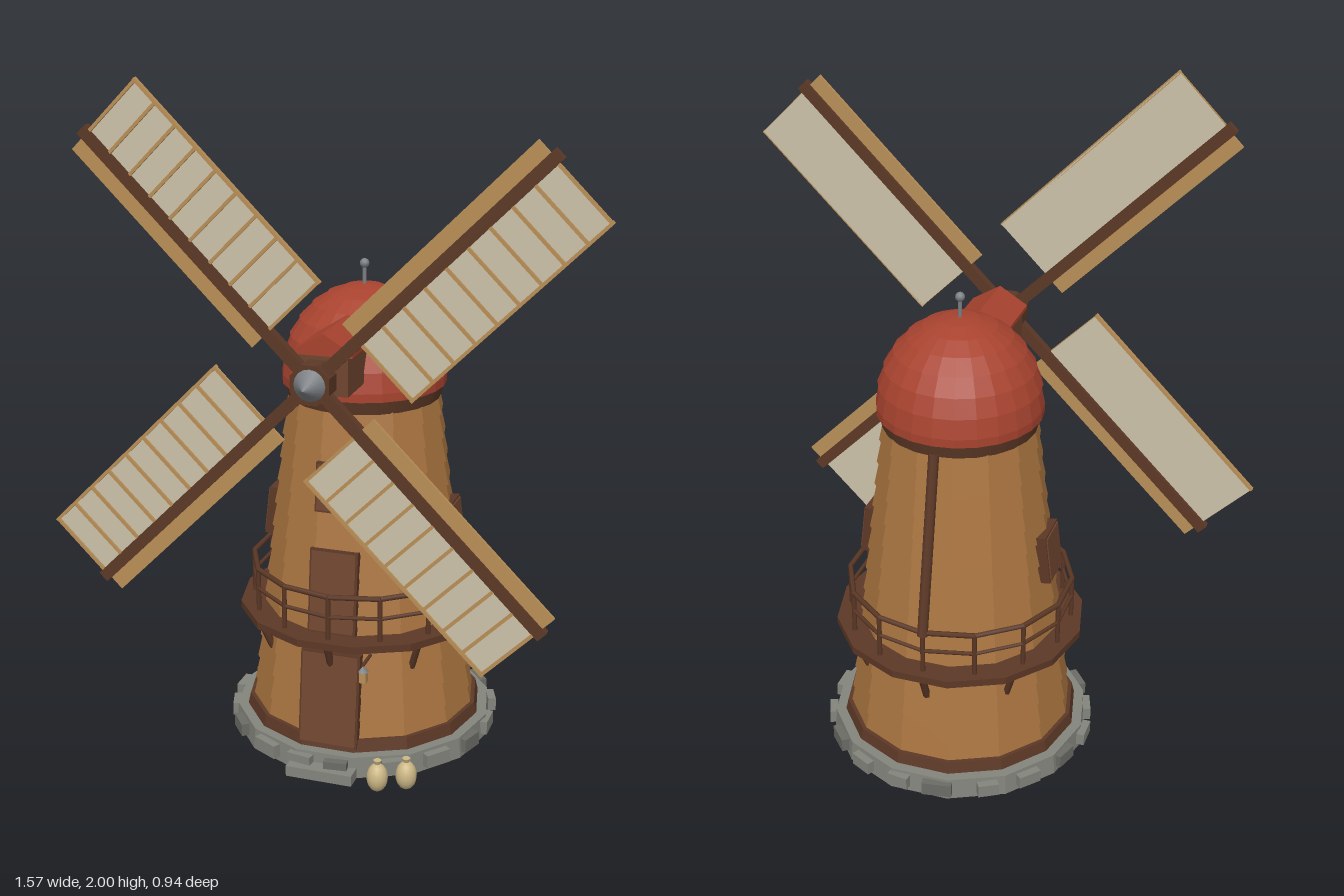
import * as THREE from 'three';

const SIDES = 14, STEP = Math.PI * 2 / SIDES, CZ = -0.06;

export function createModel() {
  const root = new THREE.Group();
  root.name = 'windmill';
  const mat = (name, color) => {
    const m = new THREE.MeshStandardMaterial({ color });
    m.name = name;
    return m;
  };
  const wood = mat('plank wood', 0xa8733f), dark = mat('dark wood', 0x5c3826);
  const door = mat('door wood', 0x6f452f), red = mat('red shingles', 0xa8432f);
  const stone = mat('stone', 0x83847c), stoneDark = mat('dark stone', 0x6b6c66);
  const cloth = mat('sail cloth', 0xcbc2a8), tan = mat('light wood', 0xb98f57);
  const metal = mat('metal', 0x7c8084), sackCloth = mat('sack cloth', 0xccb886);

  const flat = (g) => {
    const f = g.index ? g.toNonIndexed() : g;
    f.computeVertexNormals();
    return f;
  };
  const add = (parent, name, geo, material, x = 0, y = 0, z = 0) => {
    const m = new THREE.Mesh(geo, material);
    m.name = name;
    m.position.set(x, y, z);
    parent.add(m);
    return m;
  };
  const box = (parent, name, material, w, h, d, x, y, z) =>
    add(parent, name, new THREE.BoxGeometry(w, h, d), material, x, y, z);
  const lathe = (pts, n, phase) =>
    flat(new THREE.LatheGeometry(pts.map(p => new THREE.Vector2(...p)), n, phase));
  const prism = (r1, r0, h) => flat(new THREE.CylinderGeometry(r1, r0, h, SIDES, 1, false, STEP / 2));
  // Rod between two points
  const rod = (parent, name, material, a, b, r, n = 6) => {
    const A = new THREE.Vector3(...a), B = new THREE.Vector3(...b), d = B.clone().sub(A);
    const m = add(parent, name, new THREE.CylinderGeometry(r, r, d.length(), n), material);
    m.position.copy(A).add(B).multiplyScalar(0.5);
    m.quaternion.setFromUnitVectors(new THREE.Vector3(0, 1, 0), d.normalize());
    return m;
  };

  const tower = new THREE.Group();
  tower.name = 'tower';
  tower.position.z = CZ;
  root.add(tower);
  const polar = (a, r, y) => [Math.sin(a) * r, y, Math.cos(a) * r];
  const wallR = (y) => 0.34 - (y - 0.08) * 0.118;

  // Stone footing with uneven blocks
  add(tower, 'footing', prism(0.39, 0.395, 0.064), stone, 0, 0.032, 0);
  let seed = 7;
  const rnd = () => (seed = (seed * 16807) % 2147483647) / 2147483647;
  for (let i = 0; i < 18; i++) {
    const a = (i + 0.3 + rnd() * 0.3) * Math.PI / 9;
    const r = 0.391 + rnd() * 0.008;
    const b = box(tower, 'footingBlock', i % 3 ? stone : stoneDark,
      0.06 + rnd() * 0.03, 0.036 + rnd() * 0.008, 0.024, ...polar(a, r, 0.036));
    b.rotation.y = a;
  }
  box(root, 'doorstep', stone, 0.2, 0.032, 0.1, 0, 0.016, 0.32);
  add(tower, 'skirting', prism(0.352, 0.36, 0.035), dark, 0, 0.081, 0);

  // Overlapping plank courses
  const planks = [];
  const courses = 14;
  for (let i = 0; i < courses; i++) {
    const y0 = 0.08 + i / courses, y1 = 0.08 + (i + 1) / courses;
    planks.push([wallR(y0) + 0.004, y0], [wallR(y1) - 0.003, y1]);
  }
  add(tower, 'plankWall', lathe(planks, SIDES, STEP / 2), wood);

  // Doors and windows lie on the sloping wall
  const onWall = (name, a, y, w, h, depth, r) => {
    const g = new THREE.Group();
    g.name = name;
    g.position.set(...polar(a, r, y));
    g.rotation.set(-0.118, a, 0, 'YXZ');
    tower.add(g);
    box(g, name + 'Frame', dark, w, h, depth, 0, 0, 0);
    box(g, name + 'Panel', door, w - 0.012, h - 0.012, 0.008, 0, 0, depth / 2);
  };
  onWall('frontDoor', 0, 0.213, 0.18, 0.285, 0.03, wallR(0.213) * 0.975);
  onWall('balconyDoor', 0, 0.535, 0.145, 0.25, 0.03, wallR(0.535) * 0.975);
  onWall('frontWindow', 0, 0.84, 0.125, 0.145, 0.03, wallR(0.84) * 0.975);
  for (const s of [1, -1]) onWall('sideWindow', s * Math.PI / 2, 0.67, 0.12, 0.15, 0.034, wallR(0.67));

  // Balcony with railing and eight brackets
  add(tower, 'balconyDeck', prism(0.375, 0.375, 0.022), dark, 0, 0.398, 0);
  for (let i = 0; i < SIDES; i++) {
    const a = i * STEP, b = a + STEP;
    rod(tower, 'railPost', dark, polar(a, 0.335, 0.4), polar(a, 0.335, 0.54), 0.007);
    for (const [y, r] of [[0.54, 0.008], [0.478, 0.006]])
      rod(tower, 'rail', dark, polar(a, 0.335, y), polar(b, 0.335, y), r);
  }
  for (let i = 0; i < 8; i++) {
    const a = i * Math.PI / 4;
    rod(tower, 'deckBracket', dark, polar(a, 0.305, 0.3), polar(a, 0.345, 0.39), 0.011);
  }
  rod(tower, 'tailPole', dark, [0, 1.06, -0.225], [0, 0.53, -0.335], 0.016, 8);

  // Lantern beside the door
  rod(root, 'lanternArm', dark, [0.11, 0.35, 0.22], [0.11, 0.35, 0.29], 0.005);
  box(root, 'lantern', tan, 0.02, 0.034, 0.02, 0.11, 0.312, 0.285);
  add(root, 'lanternCap', new THREE.ConeGeometry(0.016, 0.018, 6), metal, 0.11, 0.337, 0.285);

  // Domed cap with stepped shingle rings
  add(tower, 'capCollar', new THREE.CylinderGeometry(0.235, 0.225, 0.05, 24), dark, 0, 1.08, 0);
  const dome = [[0, 1.1], [0.241, 1.095], [0.241, 1.12]];
  const rings = 7;
  for (let i = 0; i < rings; i++) {
    const a0 = i / rings * Math.PI / 2, a1 = (i + 1) / rings * Math.PI / 2;
    dome.push([0.238 * Math.cos(a0) + 0.003, 1.12 + 0.262 * Math.sin(a0)]);
    dome.push([Math.max(0, 0.238 * Math.cos(a1) - 0.003), 1.12 + 0.262 * Math.sin(a1)]);
  }
  add(tower, 'domeRoof', lathe(dome, 24, 0), red);
  rod(tower, 'finialRod', metal, [0, 1.37, 0], [0, 1.435, 0], 0.006, 8);
  add(tower, 'finialBall', new THREE.SphereGeometry(0.014, 12, 8), metal, 0, 1.44, 0);

  // Shaft housing with a small gable roof
  box(root, 'shaftHousing', door, 0.14, 0.12, 0.24, 0, 1.21, 0.18);
  const gable = new THREE.Shape([[-0.084, 1.262], [0.084, 1.262], [0.084, 1.274], [0, 1.325], [-0.084, 1.274]]
    .map(p => new THREE.Vector2(...p)));
  add(root, 'housingRoof', new THREE.ExtrudeGeometry(gable, { depth: 0.25, bevelEnabled: false }), red, 0, 0, 0.055);

  // Sail assembly
  const sails = new THREE.Group();
  sails.name = 'sails';
  sails.position.set(0, 1.21, 0.383);
  root.add(sails);
  rod(sails, 'shaft', dark, [0, 0, -0.1], [0, 0, 0], 0.023, 12);
  const hub = add(sails, 'hub', flat(new THREE.CylinderGeometry(0.06, 0.06, 0.06, 8, 1, false, Math.PI / 8)), dark);
  hub.rotation.x = Math.PI / 2;
  const nose = add(sails, 'hubNose', new THREE.ConeGeometry(0.045, 0.057, 16), metal, 0, 0, 0.0585);
  nose.rotation.x = Math.PI / 2;
  for (let k = 0; k < 4; k++) {
    const s = new THREE.Group();
    s.name = 'sail';
    s.rotation.z = Math.PI / 4 + k * Math.PI / 2;
    sails.add(s);
    box(s, 'spar', dark, 0.034, 0.912, 0.026, 0, 0.456, 0);
    box(s, 'leadingBoard', tan, 0.046, 0.715, 0.01, -0.038, 0.5375, 0.002);
    box(s, 'cloth', cloth, 0.196, 0.715, 0.006, 0.114, 0.5375, 0.004);
    box(s, 'sailEdge', tan, 0.009, 0.72, 0.014, 0.211, 0.5375, 0.008);
    for (let i = 0; i <= 9; i++)
      box(s, 'sailBar', tan, 0.196, 0.009, 0.008, 0.114, 0.183 + i * 0.0788, 0.01);
  }

  // Grain sacks by the step
  for (const [x, z] of [[0.18, 0.372], [0.255, 0.335]]) {
    const sack = add(root, 'sack', new THREE.SphereGeometry(0.031, 14, 10), sackCloth, x, 0.048, z);
    sack.scale.y = 1.4;
    add(root, 'sackTie', new THREE.CylinderGeometry(0.012, 0.006, 0.016, 8), sackCloth, x, 0.094, z);
  }
  return root;
}
